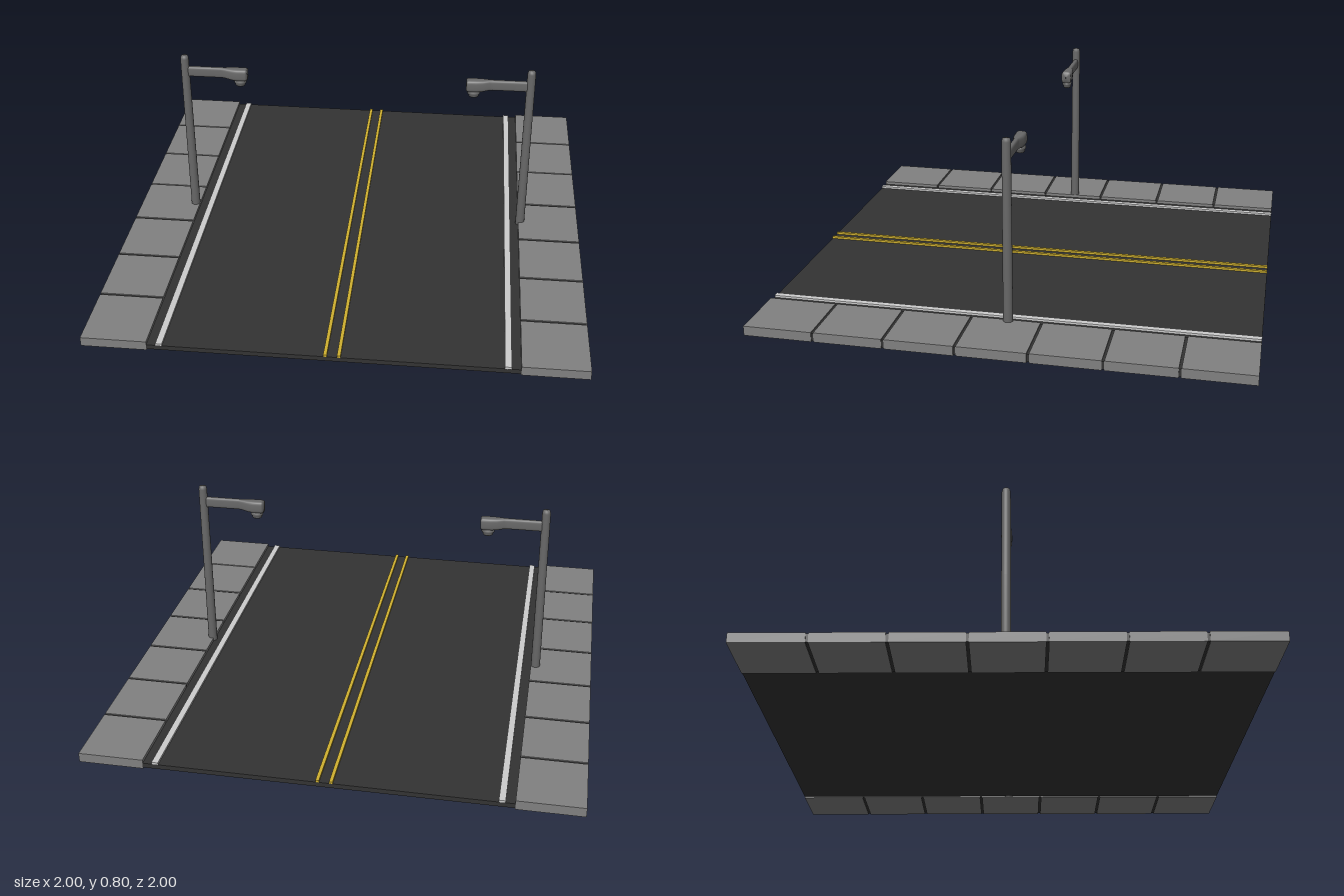
import * as THREE from 'three';

const mat = (color) => new THREE.MeshStandardMaterial({ color });
const asphalt = mat(0x333333), concrete = mat(0x808080), metal = mat(0x686868);
const white = mat(0xcccccc), yellow = mat(0xcfb02f);

function add(parent, name, geometry, material, x = 0, y = 0, z = 0) {
  const mesh = new THREE.Mesh(geometry, material);
  mesh.name = name;
  mesh.position.set(x, y, z);
  parent.add(mesh);
  return mesh;
}

// Box given by its extent in x and y, its length in z and its z centre
function slab(parent, name, material, x0, x1, y0, y1, length, z = 0) {
  return add(parent, name, new THREE.BoxGeometry(x1 - x0, y1 - y0, length), material,
    (x0 + x1) / 2, (y0 + y1) / 2, z);
}

// Rounded-rectangle sections along x: [x, bottom, top, half width]
function loft(stations, sides = 24) {
  const points = [], index = [];
  const soften = (v) => Math.sign(v) * Math.abs(v) ** 0.55;
  for (const [x, bottom, top, half] of stations) {
    for (let i = 0; i < sides; i++) {
      const a = (i / sides) * Math.PI * 2;
      points.push(x, (bottom + top) / 2 + soften(Math.cos(a)) * (top - bottom) / 2, soften(Math.sin(a)) * half);
    }
  }
  for (let s = 0; s < stations.length - 1; s++) {
    for (let i = 0; i < sides; i++) {
      const a = s * sides + i, b = s * sides + (i + 1) % sides;
      index.push(a, a + sides, b, b, a + sides, b + sides);
    }
  }
  const geometry = new THREE.BufferGeometry();
  geometry.setAttribute('position', new THREE.Float32BufferAttribute(points, 3));
  geometry.setIndex(index);
  geometry.computeVertexNormals();
  // Wind the faces outwards: the first one must face away from the axis
  const p = (k) => new THREE.Vector3().fromArray(points, index[k] * 3);
  const n = p(1).sub(p(0)).cross(p(2).sub(p(0)));
  if (n.y < 0) {
    index.reverse();
    geometry.setIndex(index);
    geometry.computeVertexNormals();
  }
  return geometry;
}

function lathe(profile, sides = 24) {
  return new THREE.LatheGeometry(profile.map(([r, y]) => new THREE.Vector2(r, y)), sides);
}

// Street lamp with its pole at the origin and its arm reaching along +x
function createLamp() {
  const lamp = new THREE.Group();
  add(lamp, 'pole', lathe([[0, 0.002], [0.02, 0.002], [0.019, 0.4], [0.018, 0.785],
    [0.015, 0.797], [0, 0.801]]), metal);
  // Narrow arm widening into the lamp head
  add(lamp, 'armAndHead', loft([
    [0.005, 0.701, 0.747, 0.011],
    [0.16, 0.701, 0.747, 0.011],
    [0.175, 0.7, 0.747, 0.013],
    [0.205, 0.694, 0.747, 0.021],
    [0.23, 0.692, 0.747, 0.023],
    [0.265, 0.692, 0.747, 0.023],
    [0.273, 0.695, 0.744, 0.021],
    [0.275, 0.718, 0.722, 0.001],
  ]), metal);
  const bulb = add(lamp, 'lampGlass', lathe([[0, 0.667], [0.019, 0.667], [0.022, 0.671], [0.022, 0.677],
    [0.027, 0.682], [0.027, 0.69], [0.02, 0.698], [0, 0.698]]), metal, 0.241);
  bulb.scale.z = 0.8;
  return lamp;
}

export function createModel() {
  const model = new THREE.Group();
  model.name = 'streetSection';

  slab(model, 'roadBed', asphalt, -0.735, 0.735, 0.006, 0.026, 2);

  // Centre lines
  for (const x of [-0.025, 0.029]) slab(model, 'centreLine', yellow, x - 0.007, x + 0.007, 0.024, 0.035, 2);

  const count = 7, pitch = 2 / count, gap = 0.01;
  for (const side of [-1, 1]) {
    const mid = side * 0.684;
    slab(model, 'edgeLine', white, mid - 0.013, mid + 0.013, 0.024, 0.035, 2);

    // Pavement slabs with dark joints between them
    const pavement = new THREE.Group();
    pavement.name = side > 0 ? 'leftPavement' : 'rightPavement';
    const x0 = side > 0 ? 0.734 : -1, x1 = x0 + 0.266;
    for (let i = 0; i < count; i++) {
      const start = -1 + i * pitch + (i > 0 ? gap / 2 : 0);
      const end = -1 + (i + 1) * pitch - (i < count - 1 ? gap / 2 : 0);
      slab(pavement, 'pavementSlab', concrete, x0, x1, 0, 0.04, end - start, (start + end) / 2);
      if (i > 0) slab(pavement, 'joint', asphalt, x0 + 0.003, x1 - 0.003, 0.003, 0.036, gap, -1 + i * pitch);
    }
    model.add(pavement);

    const lamp = createLamp();
    lamp.name = side > 0 ? 'leftLamp' : 'rightLamp';
    lamp.position.set(-0.006 + side * 0.748, 0, -0.008);
    lamp.rotation.y = side > 0 ? Math.PI : 0;
    model.add(lamp);
  }
  return model;
}
